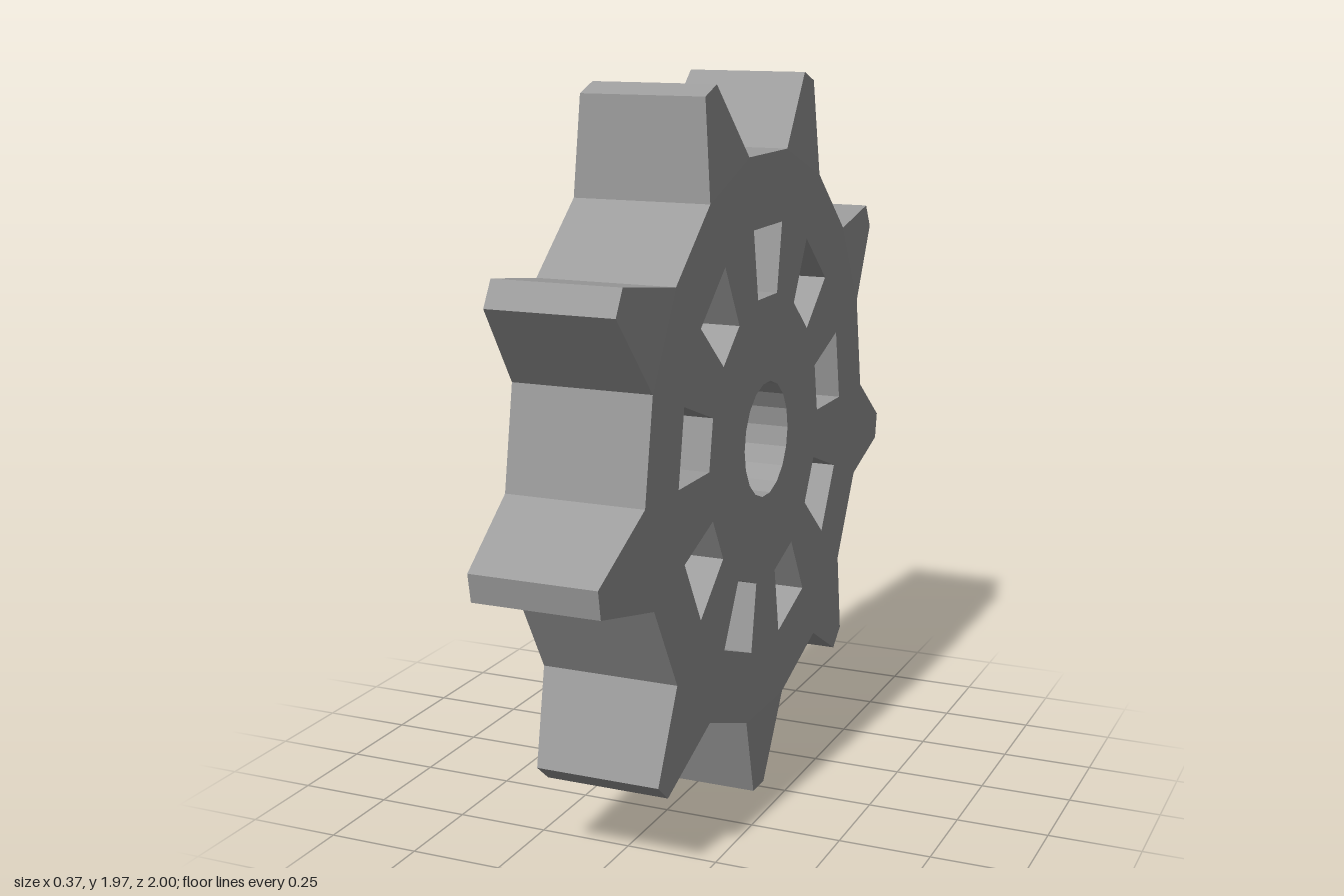
import * as THREE from 'three';

const TEETH = 9;
const STEP = Math.PI / TEETH;          // one sector: a tooth or a gap
const CENTRE_Y = 1.009;
const BORE = 0.158, WINDOW_IN = 0.395, WINDOW_OUT = 0.586, ROOT = 0.78, TIP = 1.009;
const HALF = 0.187, TIP_HALF = 0.17;   // half thickness of body and of tooth tips
const TIP_WIDTH = 0.038;               // half width of a tooth tip

// Point in the wheel plane: radial and sideways offset about an angle, with half thickness
function point(angle, radial, side = 0, half = HALF) {
  return {
    y: CENTRE_Y + radial * Math.cos(angle) - side * Math.sin(angle),
    z: radial * Math.sin(angle) + side * Math.cos(angle),
    half,
  };
}

// Collects quads, then makes a flat shaded mesh
class Builder {
  constructor() { this.pos = []; }
  corner(p, sign) { return [sign * p.half, p.y, p.z]; }
  quad(a, b, c, d) { this.pos.push(...a, ...b, ...c, ...a, ...c, ...d); }
  // Matching faces on both sides of the wheel
  faces(a, b, c, d) {
    this.quad(...[a, b, c, d].map((p) => this.corner(p, 1)));
    this.quad(...[d, c, b, a].map((p) => this.corner(p, -1)));
  }
  // Walls across the thickness along a run of points
  walls(...pts) {
    for (let i = 0; i + 1 < pts.length; i++) {
      const p = pts[i], q = pts[i + 1];
      this.quad(this.corner(p, -1), this.corner(q, -1), this.corner(q, 1), this.corner(p, 1));
    }
  }
  mesh(name) {
    const geometry = new THREE.BufferGeometry();
    geometry.setAttribute('position', new THREE.Float32BufferAttribute(this.pos, 3));
    geometry.computeVertexNormals();
    const material = new THREE.MeshStandardMaterial({ color: 0x9c9c9c, flatShading: true });
    const mesh = new THREE.Mesh(geometry, material);
    mesh.name = name;
    return mesh;
  }
}

export function createModel() {
  const group = new THREE.Group();
  group.name = 'sprocket';
  const body = new Builder();

  for (let i = 0; i < TEETH * 2; i++) {
    const mid = i * STEP, a0 = mid - STEP / 2, a1 = mid + STEP / 2;
    const ring = (r0, r1) => [point(a0, r0), point(a0, r1), point(a1, r1), point(a1, r0)];

    // Hub, rim and bore
    body.faces(...ring(BORE, WINDOW_IN));
    body.faces(...ring(WINDOW_OUT, ROOT));
    body.walls(point(a1, BORE), point(a0, BORE));

    const [a, b, c, d] = ring(WINDOW_IN, WINDOW_OUT);
    if (i % 2 === 0) {
      // Window through the web, with the tooth gap outside it
      body.walls(d, c, b, a, d);
      body.walls(point(a0, ROOT), point(a1, ROOT));
    } else {
      // Spoke, with a tapered tooth outside it
      body.faces(a, b, c, d);
      const tooth = new Builder();
      const outline = [
        point(a0, ROOT),
        point(mid, TIP, -TIP_WIDTH, TIP_HALF),
        point(mid, TIP, TIP_WIDTH, TIP_HALF),
        point(a1, ROOT),
      ];
      tooth.faces(...outline);
      tooth.walls(...outline);
      group.add(tooth.mesh(`tooth${(i + 1) / 2}`));
    }
  }
  group.add(body.mesh('wheelBody'));
  return group;
}
